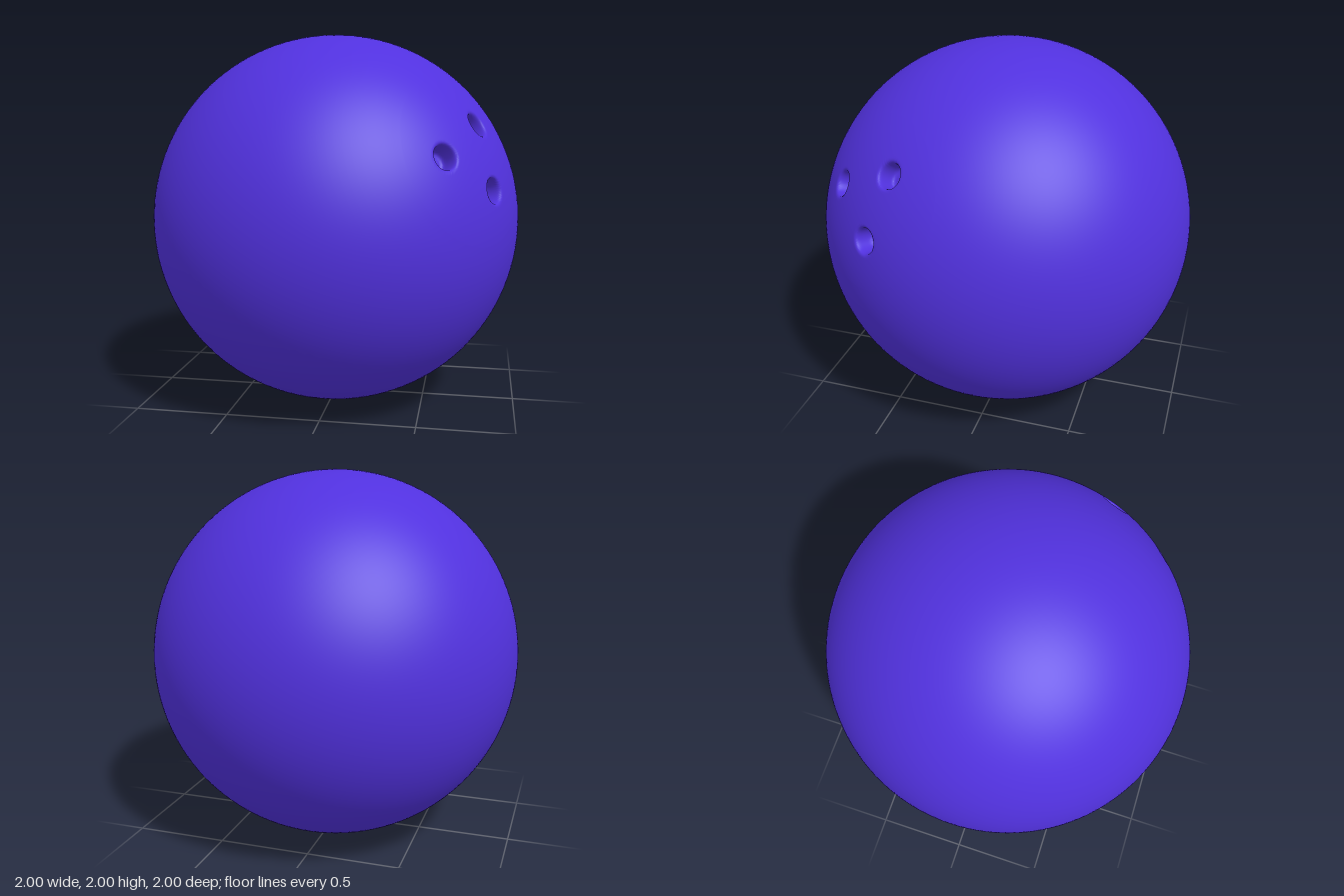
import * as THREE from 'three';
import { mergeVertices } from 'three/addons/utils/BufferGeometryUtils.js';

// Directions of the three finger holes from the ball's centre
const HOLES = [[0.63, 0.39, 0.66], [0.77, 0.53, 0.34], [0.86, 0.215, 0.45]]
  .map((p) => new THREE.Vector3(...p).normalize());

// Hole cross-section: [angle on plain ball, angle after sinking, depth]
const PROFILE = [
  [0, 0, 0.1], [0.04, 0.042, 0.1], [0.052, 0.055, 0.094], [0.06, 0.059, 0.08],
  [0.085, 0.062, 0.02], [0.095, 0.066, 0.006], [0.105, 0.076, 0], [0.16, 0.16, 0],
];

function sampleProfile(t) {
  const i = PROFILE.findIndex((p) => p[0] > t);
  const a = PROFILE[i - 1], b = PROFILE[i];
  const k = (t - a[0]) / (b[0] - a[0]);
  return [THREE.MathUtils.lerp(a[1], b[1], k), THREE.MathUtils.lerp(a[2], b[2], k)];
}

// Sphere with its pole amid the holes and tighter rings around that pole
function ballGeometry() {
  const geo = new THREE.SphereGeometry(1, 192, 140);
  const pos = geo.attributes.position;
  const v = new THREE.Vector3();
  const middle = HOLES.reduce((s, h) => s.add(h), new THREE.Vector3()).normalize();
  const turn = new THREE.Quaternion().setFromUnitVectors(new THREE.Vector3(0, 1, 0), middle);

  for (let i = 0; i < pos.count; i++) {
    const row = Math.floor(i / 193) / 140;
    const col = (i % 193) / 192 * Math.PI * 2;
    const polar = row < 0.5 ? row * 0.9 : 0.45 + (row - 0.5) * 2 * (Math.PI - 0.45);
    v.setFromSphericalCoords(1, polar, i % 193 === 192 ? 0 : col).applyQuaternion(turn);

    // Sink the surface near each hole
    for (const hole of HOLES) {
      const t = v.angleTo(hole);
      if (t >= 0.16) continue;
      const [angle, depth] = sampleProfile(t);
      const side = v.clone().addScaledVector(hole, -v.dot(hole));
      if (side.lengthSq() > 1e-12) side.normalize();
      v.copy(hole).multiplyScalar(Math.cos(angle) - depth).addScaledVector(side, Math.sin(angle));
      break;
    }
    pos.setXYZ(i, v.x, v.y, v.z);
  }

  // Join the seam and smooth the normals. Reversed winding comes from the polar sweep direction
  geo.deleteAttribute('uv');
  geo.deleteAttribute('normal');
  const joined = mergeVertices(geo, 1e-5);
  const index = joined.index;
  const a = new THREE.Vector3(), b = new THREE.Vector3(), c = new THREE.Vector3();
  const p = joined.attributes.position;
  const mid = Math.floor(index.count / 6) * 3;
  [a, b, c].forEach((q, k) => q.fromBufferAttribute(p, index.getX(mid + k)));
  const inward = b.clone().sub(a).cross(c.clone().sub(a)).dot(a) < 0;
  if (inward) {
    for (let i = 0; i < index.count; i += 3) {
      const first = index.getX(i);
      index.setX(i, index.getX(i + 1));
      index.setX(i + 1, first);
    }
  }
  joined.computeVertexNormals();
  return joined;
}

export function createModel() {
  const violet = new THREE.MeshStandardMaterial({ color: 0x5131de });
  violet.name = 'violet';

  const group = new THREE.Group();
  group.name = 'bowlingBall';
  const ball = new THREE.Mesh(ballGeometry(), violet);
  ball.name = 'ballWithFingerHoles';
  ball.position.y = 1;
  group.add(ball);
  return group;
}
